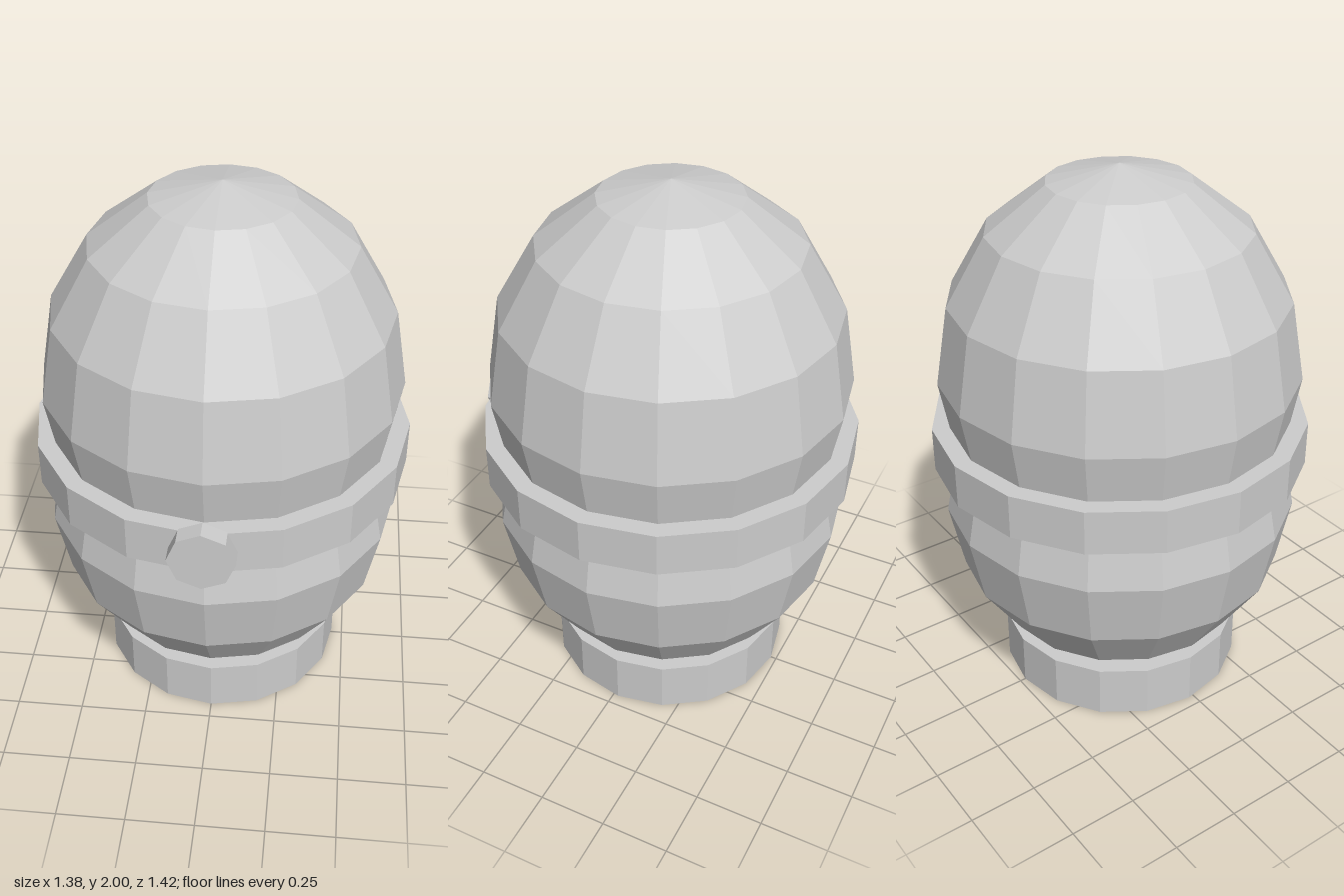
import * as THREE from 'three';

const SIDES = 16;
const CENTRE_Z = -0.02;

export function createModel() {
  const group = new THREE.Group();
  const grey = new THREE.MeshStandardMaterial({ color: 0xcccccc, flatShading: true });
  grey.name = 'grey';

  const add = (name, geometry, y, z = CENTRE_Z) => {
    const mesh = new THREE.Mesh(geometry, grey);
    mesh.name = name;
    mesh.position.set(0, y, z);
    group.add(mesh);
    return mesh;
  };

  // Faceted body: round lower half and taller domed upper half
  add('lowerBody', new THREE.SphereGeometry(0.655, SIDES, 8), 0.725);
  add('upperBody', new THREE.SphereGeometry(0.655, SIDES, 8), 1.25).scale.y = 0.75 / 0.655;

  // Foot and the band around the waist
  add('base', new THREE.CylinderGeometry(0.458, 0.458, 0.2, SIDES), 0.1);
  add('band', new THREE.CylinderGeometry(0.688, 0.688, 0.165, SIDES), 0.988);

  // Octagonal button on the front of the band
  const button = new THREE.CylinderGeometry(0.116, 0.116, 0.065, 8).rotateX(Math.PI / 2);
  add('button', button, 0.988, 0.677);

  return group;
}
